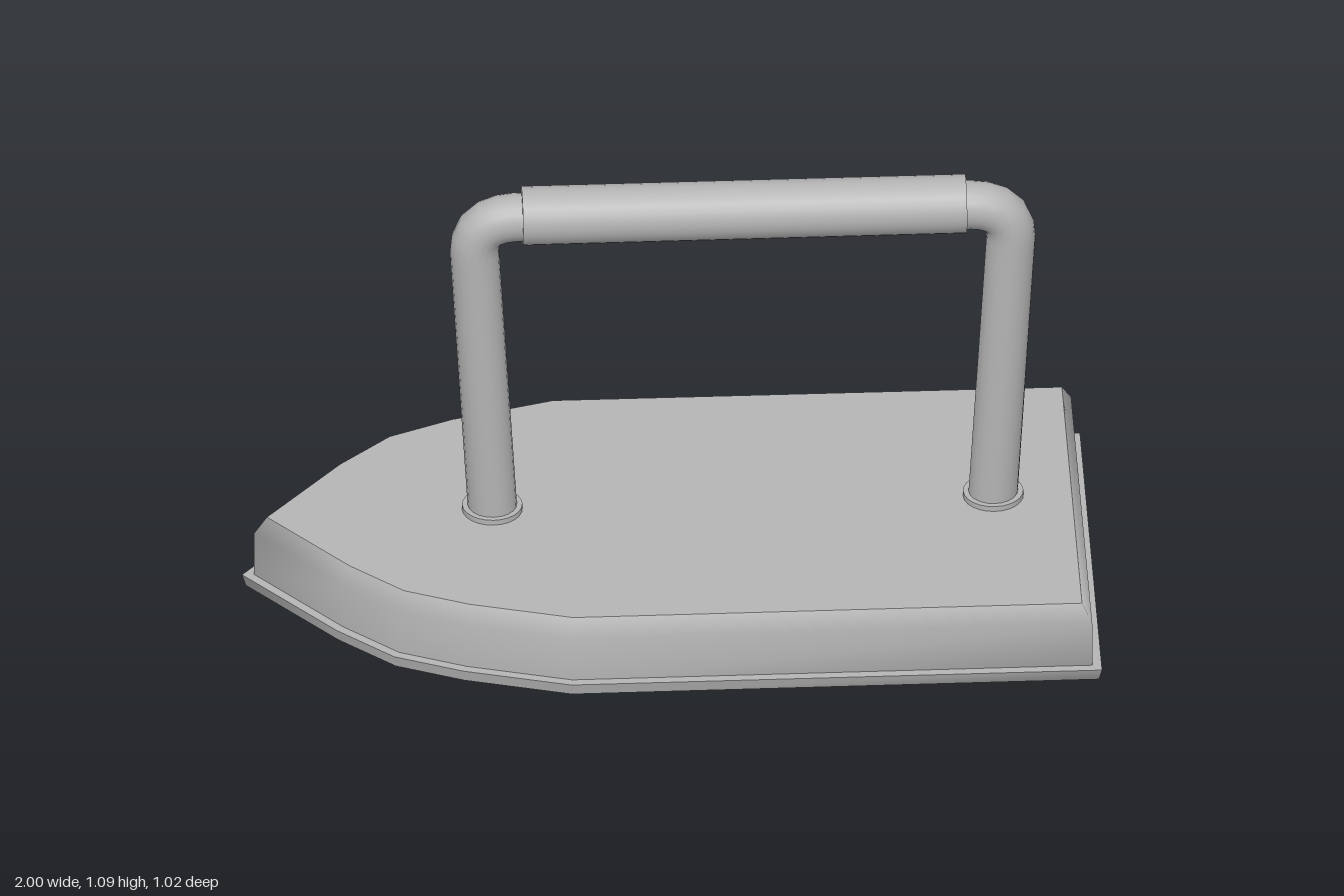
import * as THREE from 'three';

const iron = new THREE.MeshStandardMaterial({ color: 0xb4b4b4 });
iron.name = 'iron grey';

// Half of the pointed footprint (x, z), from the tip to the heel
const half = [[-1, 0], [-0.79, 0.25], [-0.66, 0.37], [-0.5, 0.44], [-0.25, 0.512], [1, 0.51]];
const footprint = [...half, ...half.slice(1).reverse().map(([x, z]) => [x, -z])]
  .map(([x, z]) => new THREE.Vector2(x, z));

// Footprint moved inwards by a fixed distance, with mitred corners
function inset(d) {
  const n = footprint.length;
  const normal = (a, b) => {
    const e = b.clone().sub(a).normalize();
    return new THREE.Vector2(e.y, -e.x);
  };
  return footprint.map((p, i) => {
    const n1 = normal(footprint[(i + n - 1) % n], p);
    const n2 = normal(p, footprint[(i + 1) % n]);
    return p.clone().addScaledVector(n1.clone().add(n2), d / (1 + n1.dot(n2)));
  });
}

function addMesh(parent, name, geometry) {
  const mesh = new THREE.Mesh(geometry, iron);
  mesh.name = name;
  parent.add(mesh);
  return mesh;
}

// Smooth wall through rings given as [inset, height]
function wall(rings) {
  const pos = [], index = [], n = footprint.length;
  rings.forEach(([d, y]) => inset(d).forEach(p => pos.push(p.x, y, p.y)));
  for (let r = 0; r < rings.length - 1; r++) {
    for (let i = 0; i < n; i++) {
      const a = r * n + i, b = r * n + (i + 1) % n;
      index.push(a, b, b + n, a, b + n, a + n);
    }
  }
  const g = new THREE.BufferGeometry();
  g.setAttribute('position', new THREE.Float32BufferAttribute(pos, 3));
  g.setIndex(index);
  g.computeVertexNormals();
  return g;
}

// Flat cap facing up or down
function cap(d, y, up) {
  const s = up ? -1 : 1;
  const shape = new THREE.Shape(inset(d).map(p => new THREE.Vector2(p.x, s * p.y)));
  return new THREE.ShapeGeometry(shape).rotateX(s * Math.PI / 2).translate(0, y, 0);
}

export function createModel() {
  const model = new THREE.Group();
  model.name = 'flatIron';

  // Sole plate and chamfered body
  const base = new THREE.Group();
  base.name = 'base';
  base.position.z = 0.01;
  addMesh(base, 'soleBottom', cap(0.007, 0, false));
  addMesh(base, 'soleEdge', wall([[0.007, 0], [0, 0.03]]));
  addMesh(base, 'soleLedge', wall([[0, 0.03], [0.022, 0.03]]));
  addMesh(base, 'bodySide', wall([[0.022, 0.03], [0.022, 0.146], [0.045, 0.19]]));
  addMesh(base, 'bodyTop', cap(0.045, 0.19, true));
  model.add(base);

  // Bent handle rod
  const v = (x, y) => new THREE.Vector3(x, y, 0);
  const path = new THREE.CurvePath();
  path.add(new THREE.LineCurve3(v(-0.408, 0.17), v(-0.452, 0.91)));
  path.add(new THREE.QuadraticBezierCurve3(v(-0.452, 0.91), v(-0.458, 1.008), v(-0.35, 1.008)));
  path.add(new THREE.LineCurve3(v(-0.35, 1.008), v(0.71, 1.008)));
  path.add(new THREE.QuadraticBezierCurve3(v(0.71, 1.008), v(0.817, 1.008), v(0.811, 0.91)));
  path.add(new THREE.LineCurve3(v(0.811, 0.91), v(0.768, 0.17)));
  addMesh(model, 'handleRod', new THREE.TubeGeometry(path, 96, 0.058, 20));

  // Grip sleeve
  const grip = addMesh(model, 'grip', new THREE.CylinderGeometry(0.07, 0.07, 1.046, 24));
  grip.rotation.z = Math.PI / 2;
  grip.position.set(0.182, 1.011, 0);

  // Collars where the rod meets the body
  for (const x of [-0.41, 0.77]) {
    addMesh(model, 'collar', new THREE.CylinderGeometry(0.071, 0.071, 0.025, 24))
      .position.set(x, 0.191, 0);
  }

  // Slight lean of the whole piece
  model.rotation.x = 0.013;
  model.position.set(0, 0.007, -0.0135);
  const root = new THREE.Group();
  root.name = 'iron';
  root.add(model);
  return root;
}
